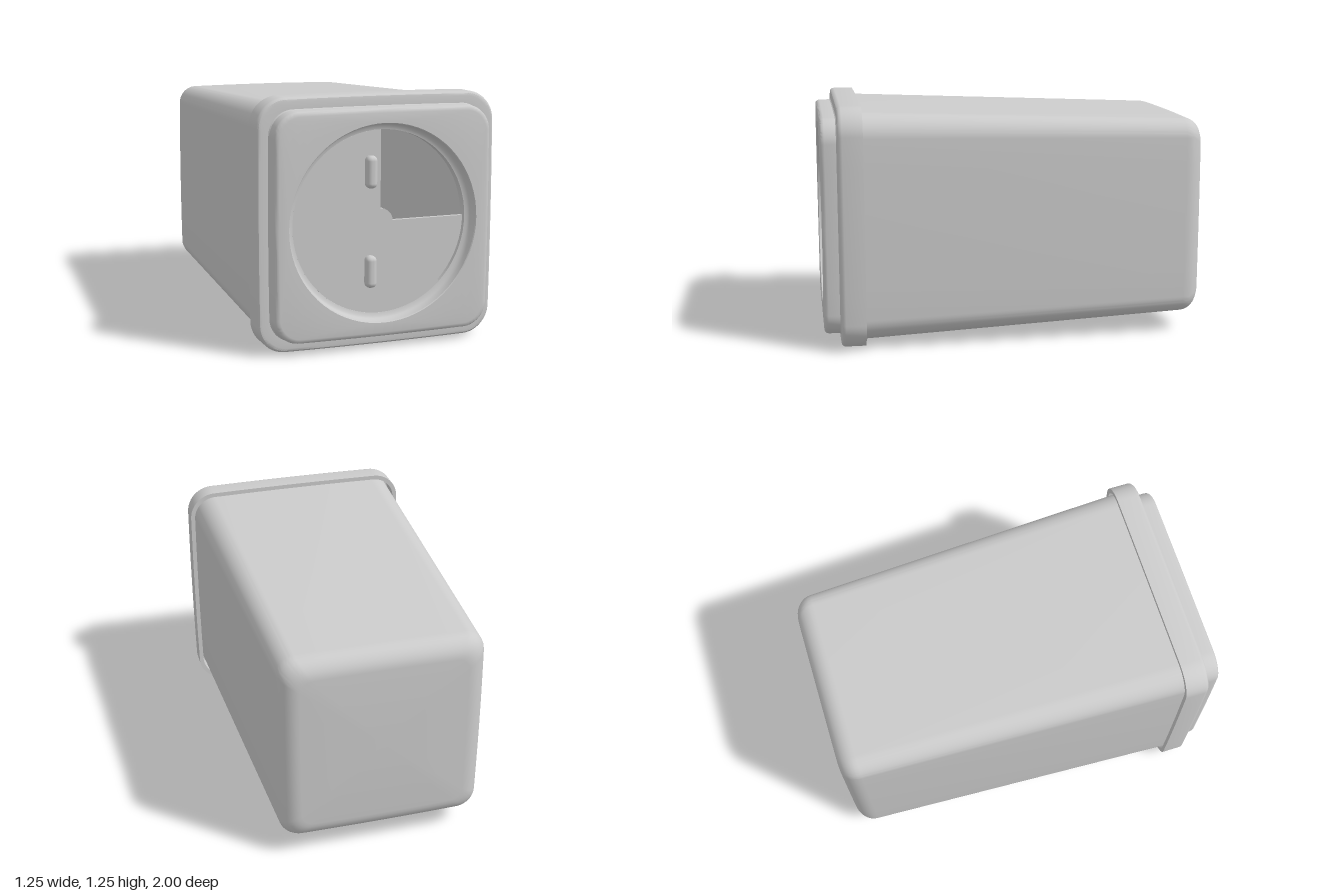
import * as THREE from 'three';
import { toCreasedNormals } from 'three/addons/utils/BufferGeometryUtils.js';
import { RoundedBoxGeometry } from 'three/addons/geometries/RoundedBoxGeometry.js';

const CENTRE_Y = 0.628;
const material = new THREE.MeshStandardMaterial({ color: 0xcccccc, side: THREE.DoubleSide });

// Rounded square with faintly bowed sides; a circle when radius equals half.
function ring(half, radius, z) {
  const K = 18, points = [];
  const bow = 0.013 * (1 - radius / half);
  for (let corner = 0; corner < 4; corner++) {
    const a0 = corner * Math.PI / 2, mid = a0 + Math.PI / 4;
    const cx = Math.sign(Math.cos(mid)) * (half - radius);
    const cy = Math.sign(Math.sin(mid)) * (half - radius);
    for (let k = 0; k <= K; k++) {
      const a = a0 + (k / K) * Math.PI / 2;
      points.push([cx + radius * Math.cos(a), cy + radius * Math.sin(a)]);
    }
    // midpoint of the following straight side, pushed out by the bow
    const n = a0 + Math.PI / 2;
    for (const t of [0.67, 0.33, 0, -0.33, -0.67]) {
      const s = -t * (half - radius);
      points.push([half * Math.cos(n) - s * Math.sin(n), half * Math.sin(n) + s * Math.cos(n)]);
    }
  }
  return points.map(([x, y]) => [
    x * (1 - bow * (y / half) ** 2),
    y * (1 - bow * (x / half) ** 2), z]);
}

// Skin through a list of [half, radius, z] sections.
function loft(sections, crease = 0.6) {
  const rings = sections.map(s => ring(...s));
  const n = rings[0].length, index = [];
  for (let i = 0; i < rings.length - 1; i++) {
    for (let j = 0; j < n; j++) {
      const a = i * n + j, b = i * n + (j + 1) % n;
      index.push(a, b, b + n, a, b + n, a + n);
    }
  }
  const g = new THREE.BufferGeometry();
  g.setAttribute('position', new THREE.Float32BufferAttribute(rings.flat(2), 3));
  g.setIndex(index);
  return toCreasedNormals(g, crease);
}

// Round plate with a sector cut away, keeping a small hub.
function cutDisc(radius, startDeg, endDeg, z, thickness) {
  const a = THREE.MathUtils.degToRad(startDeg), b = THREE.MathUtils.degToRad(endDeg);
  const hub = 0.066, s = new THREE.Shape();
  s.moveTo(radius * Math.cos(a), radius * Math.sin(a));
  s.absarc(0, 0, radius, a, b, false);
  s.lineTo(hub * Math.cos(b), hub * Math.sin(b));
  s.absarc(0, 0, hub, b, a + Math.PI * 2, false);
  s.closePath();
  const g = new THREE.ExtrudeGeometry(s, { depth: thickness, bevelEnabled: false, curveSegments: 64 });
  g.translate(0, 0, z);
  return toCreasedNormals(g, 0.5);
}

export function createModel() {
  const model = new THREE.Group();
  model.name = 'canister';
  const add = (name, geometry, x = 0, y = 0, z = 0) => {
    const mesh = new THREE.Mesh(geometry, material);
    mesh.name = name;
    mesh.position.set(x, CENTRE_Y + y, z);
    model.add(mesh);
  };

  // Hollow tapering body: rounded back, outer wall, front rim, inner wall, inner back
  const body = [[0.001, 0.0001, -1]];
  const R = 0.1;
  for (let i = 0; i <= 8; i++) {
    const a = (i / 8) * Math.PI / 2;
    body.push([0.426 + R * Math.sin(a), 0.06 + 0.035 * Math.sin(a), -0.9 - R * Math.cos(a)]);
  }
  body.push([0.592, 0.12, 0.8], [0.595, 0.12, 0.89], [0.568, 0.1, 0.89], [0.502, 0.08, -0.9]);
  body.push([0.48, 0.07, -0.955], [0.43, 0.05, -0.975], [0.001, 0.0001, -0.975]);
  add('body', loft(body));

  // Lid: skirt, raised square face, round recess and underside in one skin
  add('lid', loft([
    [0.602, 0.12, 0.895], [0.602, 0.12, 0.79],
    [0.625, 0.14, 0.79], [0.625, 0.14, 0.893], [0.622, 0.138, 0.905], [0.614, 0.132, 0.913], [0.603, 0.13, 0.915],
    [0.568, 0.12, 0.915], [0.564, 0.12, 0.92],
    [0.563, 0.12, 0.978], [0.56, 0.118, 0.99], [0.553, 0.112, 0.997], [0.54, 0.105, 1],
    [0.492, 0.492, 1], [0.488, 0.488, 0.996],
    [0.486, 0.486, 0.965], [0.48, 0.48, 0.953], [0.471, 0.471, 0.945], [0.455, 0.455, 0.941],
    [0.455, 0.455, 0.895], [0.602, 0.12, 0.895],
  ]));

  // Fixed plate with a quarter opening, and the turning disc in front of it
  add('fixedPlate', cutDisc(0.455, 90, 360, 0.895, 0.023));
  add('turningDisc', cutDisc(0.4545, 90, 315, 0.92, 0.02));

  // Finger grips on the disc
  for (const [name, y] of [['upperGrip', 0.252], ['lowerGrip', -0.24]]) {
    add(name, new RoundedBoxGeometry(0.056, 0.16, 0.06, 5, 0.025), -0.058, y, 0.957);
  }
  return model;
}
